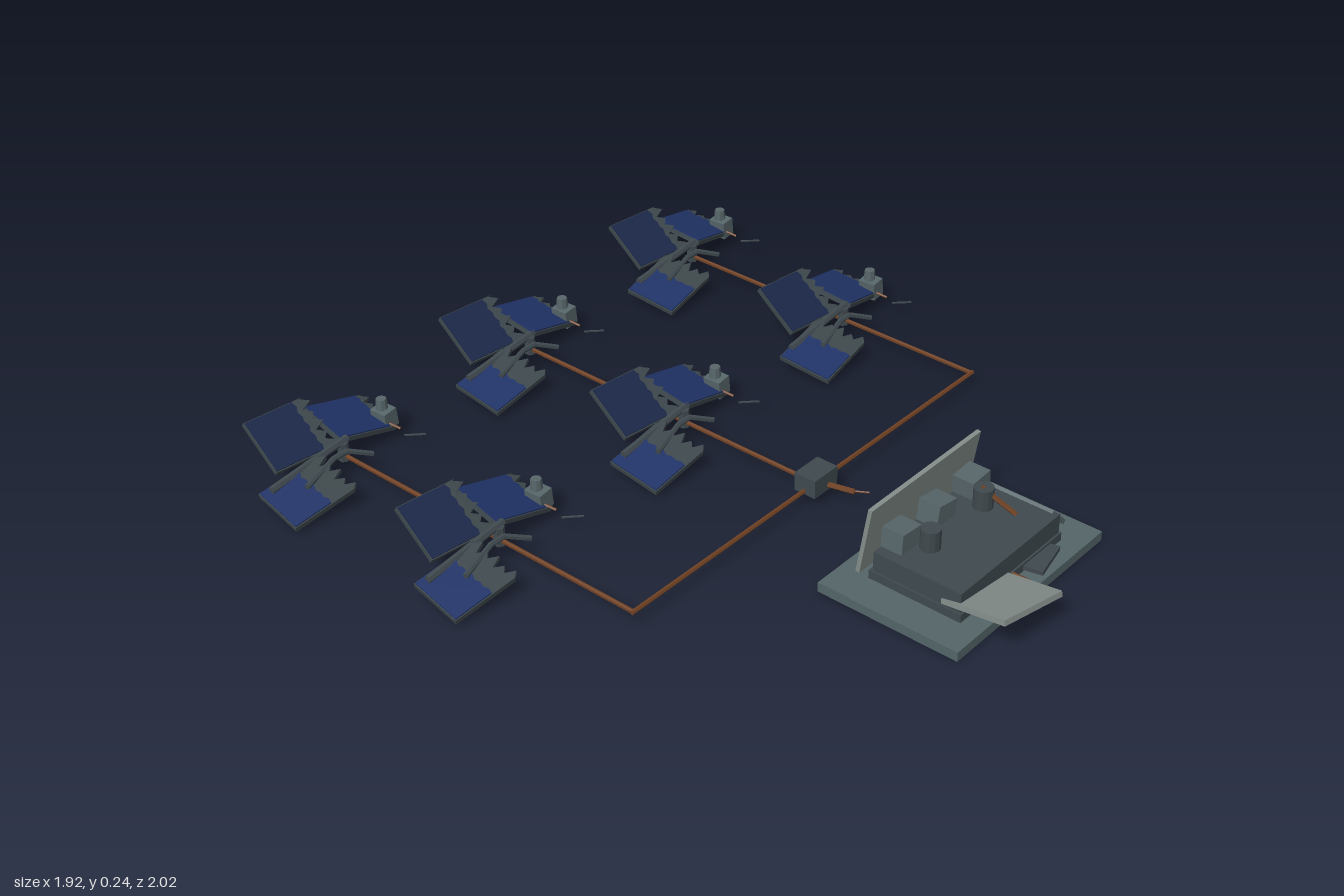
import * as THREE from 'three';

const mat = (color) => new THREE.MeshStandardMaterial({ color, flatShading: true });
const M = {
  slab: mat(0x536467), dark: mat(0x3f494e), mid: mat(0x566569), pale: mat(0x838c89),
  backing: mat(0x3c464a), cell: mat(0x1f3266), cellDark: mat(0x1a2748), rust: mat(0x6e4022),
};

function add(parent, name, geo, material, pos = [0, 0, 0], rot = [0, 0, 0]) {
  const m = new THREE.Mesh(geo, material);
  m.name = name;
  m.position.set(...pos);
  m.rotation.set(rot[0], rot[1], rot[2], 'YXZ');
  parent.add(m);
  return m;
}
const box = (w, h, d) => new THREE.BoxGeometry(w, h, d);

// Straight rod between two points
function rod(parent, name, a, b, r, material, sides = 6) {
  const p = new THREE.Vector3(...a), q = new THREE.Vector3(...b);
  const m = add(parent, name, new THREE.CylinderGeometry(r, r, p.distanceTo(q), sides), material);
  m.position.copy(p).lerp(q, 0.5);
  m.quaternion.setFromUnitVectors(new THREE.Vector3(0, 1, 0), q.sub(p).normalize());
}

// Thin horizontal sheet whose right edge is broken into teeth
function tornSheet(x0, x1, depth, thick, bite) {
  const s = new THREE.Shape();
  const h = depth / 2, teeth = 5;
  s.moveTo(x0, -h);
  s.lineTo(x1 - bite * 0.5, -h);
  for (let i = 0; i < teeth; i++) {
    const step = depth / teeth;
    s.lineTo(x1 - (i % 2) * bite * 0.3, -h + step * (i + 0.45));
    s.lineTo(x1 - bite * (i % 2 ? 1 : 0.75), -h + step * (i + 0.95));
  }
  s.lineTo(x1 - bite * 0.4, h);
  s.lineTo(x0, h);
  s.closePath();
  return new THREE.ExtrudeGeometry(s, { depth: thick, bevelEnabled: false }).rotateX(-Math.PI / 2);
}

// Broken solar panel: torn backing plate with a cell sheet on top
function solarPanel(name, w, d, cellW, cellMat, pos, rot) {
  const g = new THREE.Group();
  g.name = name;
  add(g, 'backingPlate', tornSheet(-w / 2, w / 2, d, 0.014, 0.035), M.backing, [0, -0.009, 0]);
  add(g, 'cellSheet', tornSheet(-w / 2 + 0.003, -w / 2 + cellW, d - 0.006, 0.004, 0.008), cellMat, [0, 0.005, 0]);
  g.position.set(...pos);
  g.rotation.set(rot[0], rot[1], rot[2], 'YXZ');
  return g;
}

// One collapsed solar unit around its post foot
function solarUnit(yaw) {
  const g = new THREE.Group();
  g.name = 'solarUnit';
  g.add(
    solarPanel('backLeftPanel', 0.2, 0.165, 0.155, M.cellDark, [-0.095, 0.115, -0.09], [0.57, -0.11, 0]),
    solarPanel('backRightPanel', 0.21, 0.165, 0.175, M.cell, [0.108, 0.07, -0.082], [0.15, yaw, -0.25]),
    solarPanel('frontLeftPanel', 0.205, 0.165, 0.12, M.cell, [-0.18, 0.05, 0.07], [0.15, yaw, 0.2]),
  );
  // Fallen frame
  rod(g, 'ridgeBeam', [-0.25, 0.06, 0.005], [0.02, 0.082, -0.005], 0.011, M.dark);
  rod(g, 'bentArm', [-0.185, 0.065, 0.07], [-0.06, 0.075, 0.035], 0.008, M.dark);
  rod(g, 'bentArm', [-0.06, 0.075, 0.035], [-0.015, 0.075, 0.035], 0.008, M.dark);
  rod(g, 'bentArm', [-0.015, 0.075, 0.035], [0.045, 0.05, 0.068], 0.008, M.dark);
  rod(g, 'stump', [0, 0.025, 0], [0, 0.08, 0], 0.016, M.dark);
  // Motor housing
  add(g, 'motorHousing', box(0.046, 0.055, 0.055), M.mid, [0.18, 0.057, -0.035], [0, 0.05, 0.1]);
  add(g, 'motorCap', new THREE.CylinderGeometry(0.015, 0.018, 0.035, 8), M.mid, [0.178, 0.097, -0.04]);
  // Loose scraps
  rod(g, 'scrapRod', [0.168, 0.04, 0.055], [0.215, 0.035, 0.09], 0.003, M.dark, 5);
  rod(g, 'cutWire', [0.172, 0.05, -0.01], [0.184, 0.04, 0.022], 0.004, M.rust, 5);
  return g;
}

function controlStation() {
  const g = new THREE.Group();
  g.name = 'controlStation';
  add(g, 'baseSlab', box(0.635, 0.028, 0.425), M.slab, [0.032, 0.014, 0.693]);
  add(g, 'plinth', box(0.44, 0.025, 0.28), M.dark, [0.03, 0.04, 0.705]);
  add(g, 'cabinet', box(0.43, 0.06, 0.265), M.dark, [0.03, 0.08, 0.707]);
  add(g, 'backPanel', box(0.46, 0.205, 0.012), M.pale, [0.033, 0.138, 0.552], [0.16, 0, 0]);
  // Switch boxes and capacitors on the cabinet
  [[-0.115, -0.08], [0.035, -0.15], [0.187, 0.06]].forEach(([x, tilt]) =>
    add(g, 'switchBox', box(0.075, 0.07, 0.065), M.mid, [x, 0.13, 0.605], [0, 0, tilt]));
  for (const x of [-0.08, 0.147])
    add(g, 'capacitor', new THREE.CylinderGeometry(0.027, 0.027, 0.065, 12), M.dark, [x, 0.138, 0.67]);
  rod(g, 'rustyLever', [0.142, 0.17, 0.665], [0.172, 0.11, 0.755], 0.007, M.rust);
  // Doors knocked off the cabinet
  add(g, 'fallenDoor', box(0.21, 0.016, 0.205), M.pale, [-0.093, 0.075, 0.895], [-0.22, -0.11, -0.1]);
  add(g, 'frontFlap', box(0.12, 0.012, 0.07), M.dark, [0.14, 0.04, 0.85], [0, 0.22, 0]);
  add(g, 'sidePanel', box(0.09, 0.012, 0.26), M.mid, [0.267, 0.08, 0.693], [0, 0, -0.8]);
  // Feed pipe with frayed ends
  rod(g, 'feedPipe', [0.033, 0.046, 0.465], [0.033, 0.046, 0.925], 0.007, M.rust);
  rod(g, 'frayedWire', [0.033, 0.046, 0.485], [0.06, 0.055, 0.465], 0.004, M.rust, 5);
  rod(g, 'frayedWire', [0.033, 0.046, 0.9], [0.01, 0.05, 0.93], 0.004, M.rust, 5);
  return g;
}

export function createModel() {
  const model = new THREE.Group();
  model.name = 'ruinedSolarField';
  const columns = [-0.677, 0.032, 0.742];

  // Solar units in two rows of three
  columns.forEach((x, i) => {
    for (const z of [-0.24, -0.83]) {
      const unit = solarUnit((i - 1) * 0.1);
      unit.position.set(x, 0, z);
      model.add(unit);
    }
    rod(model, 'rowPipe', [x, 0.04, 0.22], [x, 0.04, -0.83], 0.0065, M.rust);
  });
  rod(model, 'mainPipe', [columns[0] - 0.006, 0.04, 0.22], [columns[2] + 0.006, 0.04, 0.22], 0.0065, M.rust);

  // Junction box with cut cable
  add(model, 'junctionBox', box(0.095, 0.055, 0.068), M.dark, [0.032, 0.058, 0.222]);
  rod(model, 'cutCable', [0.042, 0.045, 0.25], [0.065, 0.042, 0.325], 0.008, M.rust);
  rod(model, 'cableStrand', [0.062, 0.042, 0.315], [0.087, 0.042, 0.357], 0.003, M.rust, 5);

  model.add(controlStation());
  return model;
}
